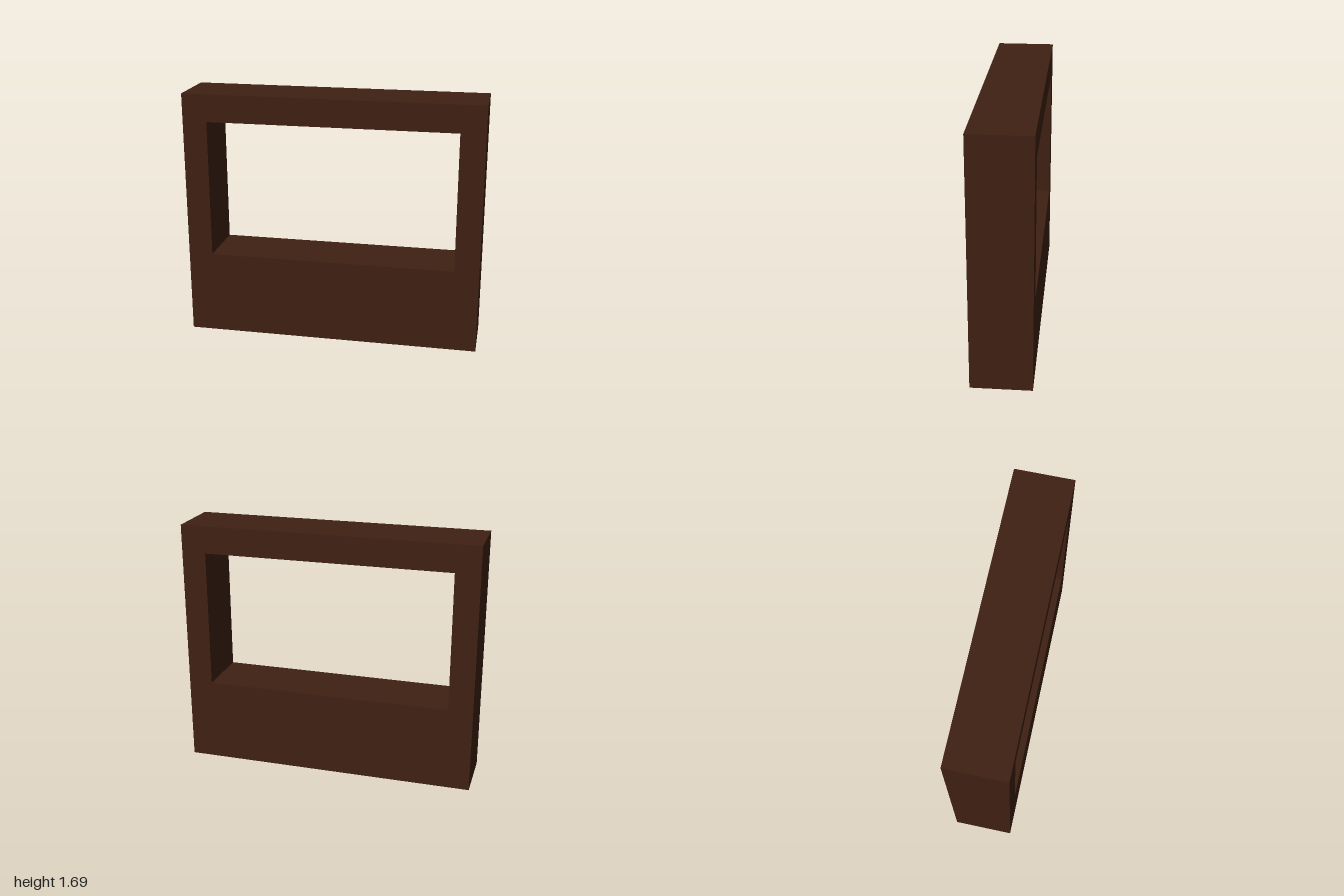
import * as THREE from 'three';

const WIDTH = 2, HEIGHT = 1.69, DEPTH = 0.4;
const OPENING = { halfWidth: 0.835, bottom: 0.57, top: 1.505 };

// Rectangle outline added to a Shape or Path
function rectangle(path, x0, y0, x1, y1) {
  path.moveTo(x0, y0);
  path.lineTo(x1, y0);
  path.lineTo(x1, y1);
  path.lineTo(x0, y1);
  path.closePath();
  return path;
}

export function createModel() {
  const group = new THREE.Group();
  group.name = 'windowWall';

  // Solid wall with one rectangular window opening
  const { halfWidth, bottom, top } = OPENING;
  const outline = rectangle(new THREE.Shape(), -WIDTH / 2, 0, WIDTH / 2, HEIGHT);
  outline.holes.push(rectangle(new THREE.Path(), -halfWidth, bottom, halfWidth, top));

  const geometry = new THREE.ExtrudeGeometry(outline, { depth: DEPTH, bevelEnabled: false });
  geometry.translate(0, 0, -DEPTH / 2);

  const wall = new THREE.Mesh(geometry, new THREE.MeshStandardMaterial({ color: 0x402113 }));
  wall.name = 'wallFrame';
  group.add(wall);
  return group;
}
